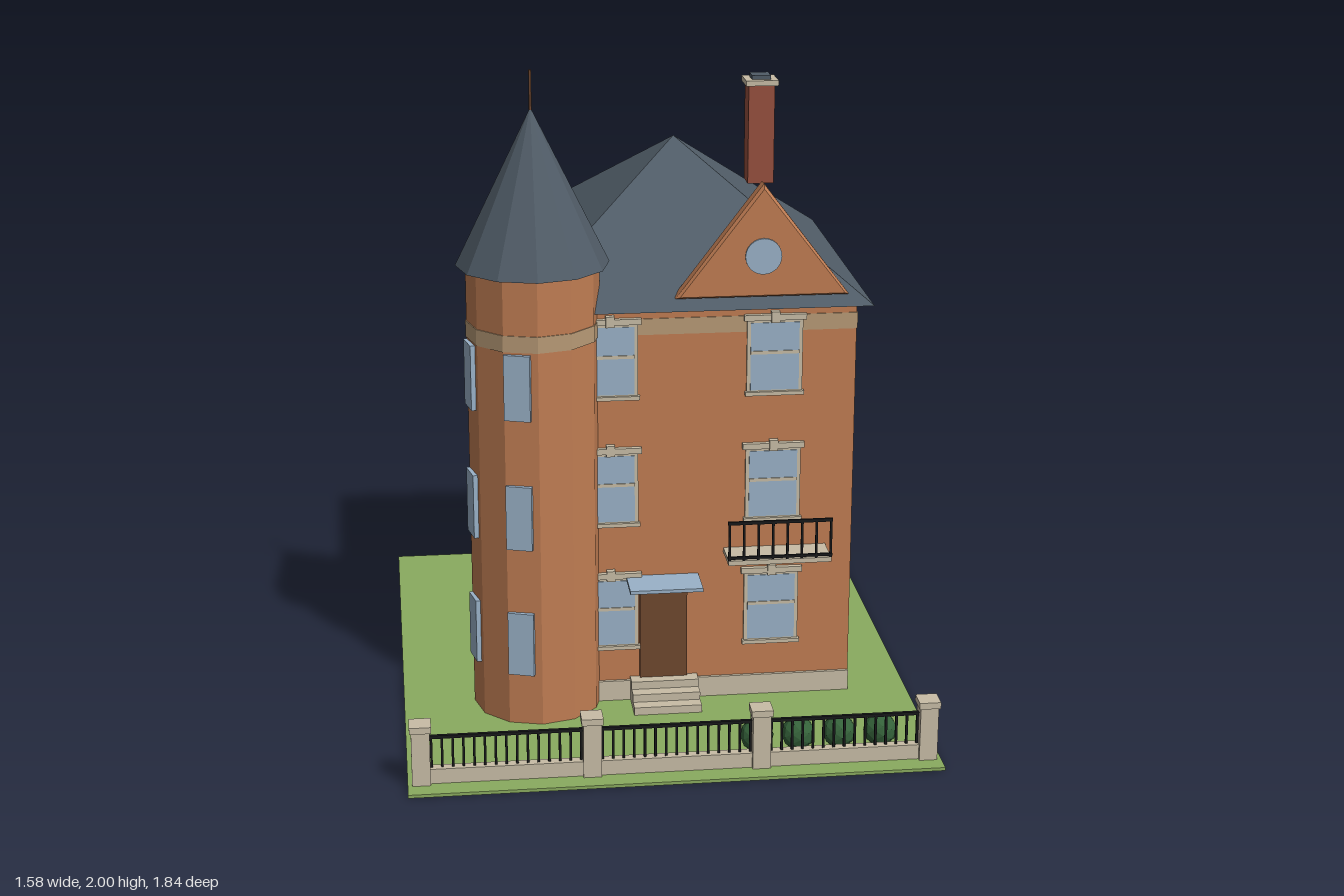
import * as THREE from 'three';

const mat = (name, color) => {
  const m = new THREE.MeshStandardMaterial({ color });
  m.name = name;
  return m;
};

// Hard facets for low-poly round parts
const facet = (geometry) => {
  const g = geometry.index ? geometry.toNonIndexed() : geometry;
  g.computeVertexNormals();
  return g;
};

export function createModel() {
  const brick = mat('brick', 0xc07d53);
  const slate = mat('slate', 0x505c67);
  const stone = mat('stone', 0xc8bda6);
  const band = mat('weathered stone', 0xb89a76);
  const glass = mat('glass', 0x9ab2c8);
  const wood = mat('dark wood', 0x6f482f);
  const iron = mat('iron', 0x17181a);
  const grass = mat('grass', 0x8aab5f);
  const leaf = mat('leaf', 0x35623a);
  const redBrick = mat('chimney brick', 0x96503f);

  const model = new THREE.Group();
  model.name = 'townhouse';

  const add = (parent, name, geometry, material, x = 0, y = 0, z = 0) => {
    const mesh = new THREE.Mesh(geometry, material);
    mesh.name = name;
    mesh.position.set(x, y, z);
    parent.add(mesh);
    return mesh;
  };
  // Box given by its minimum and maximum corners
  const box = (parent, name, material, x0, x1, y0, y1, z0, z1) =>
    add(parent, name, new THREE.BoxGeometry(x1 - x0, y1 - y0, z1 - z0), material,
      (x0 + x1) / 2, (y0 + y1) / 2, (z0 + z1) / 2);
  const group = (name, parent = model) => {
    const g = new THREE.Group();
    g.name = name;
    parent.add(g);
    return g;
  };

  // House footprint
  const X0 = -0.395, X1 = 0.605, Z0 = -0.635, Z1 = 0.345;
  const CX = 0.105, CZ = -0.145;
  const floors = [0, 1, 2].map((i) => i * 0.408);

  box(model, 'lawn', grass, -0.79, 0.79, 0, 0.01, -0.92, 0.92);
  box(model, 'walls', brick, X0, X1, 0.01, 1.285, Z0, Z1);
  box(model, 'foundation', stone, -0.2, X1, 0.01, 0.075, Z1, Z1 + 0.01);

  // Cornice bands on the front and both sides
  box(model, 'frontBand', band, X0, X1, 1.2, 1.25, Z1, Z1 + 0.003);
  box(model, 'leftBand', band, X1, X1 + 0.003, 1.2, 1.25, Z0, Z1);
  box(model, 'rightBand', band, X0 - 0.003, X0, 1.2, 1.25, Z0, Z1);

  // Hipped main roof
  const roof = new THREE.ConeGeometry(Math.SQRT1_2, 0.42, 4);
  roof.rotateY(Math.PI / 4);
  roof.scale(1.09, 1, 1.065);
  add(model, 'mainRoof', facet(roof), slate, CX, 1.49, CZ);

  // Corner tower
  const tower = group('tower');
  tower.position.set(-0.37, 0, 0.3);
  add(tower, 'towerWall', facet(new THREE.CylinderGeometry(0.2, 0.2, 1.41, 12)), brick, 0, 0.715, 0);
  add(tower, 'towerBand', facet(new THREE.CylinderGeometry(0.203, 0.203, 0.05, 12)), band, 0, 1.225, 0);
  add(tower, 'towerRoof', facet(new THREE.ConeGeometry(0.23, 0.47, 12)), slate, 0, 1.655, 0);
  add(tower, 'finial', new THREE.CylinderGeometry(0.004, 0.004, 0.13, 8), wood, 0, 1.935, 0);
  for (const degrees of [-18, -78]) {
    const column = group('towerWindows', tower);
    column.rotation.y = THREE.MathUtils.degToRad(degrees);
    for (const y of floors) box(column, 'towerWindow', glass, -0.04, 0.04, y + 0.175, y + 0.377, 0.19, 0.206);
  }

  // Plain window with a sill, facing +z
  const plainWindow = (parent, y) => {
    const g = group('window', parent);
    g.position.y = y;
    box(g, 'frame', stone, -0.07, 0.07, 0.19, 0.408, 0, 0.008);
    box(g, 'pane', glass, -0.058, 0.058, 0.202, 0.396, 0.006, 0.01);
    box(g, 'sill', stone, -0.075, 0.075, 0.184, 0.196, 0, 0.018);
    return g;
  };
  // Front window with hood, keystone and a middle bar
  const frontWindow = (parent, y) => {
    const g = group('frontWindow', parent);
    g.position.y = y;
    box(g, 'frame', stone, -0.085, 0.085, 0.19, 0.425, 0, 0.008);
    box(g, 'pane', glass, -0.074, 0.074, 0.2, 0.412, 0.006, 0.01);
    box(g, 'bar', stone, -0.074, 0.074, 0.314, 0.324, 0.006, 0.013);
    box(g, 'sill', stone, -0.09, 0.09, 0.184, 0.196, 0, 0.018);
    box(g, 'hood', stone, -0.095, 0.095, 0.42, 0.438, 0, 0.016);
    box(g, 'keystone', stone, -0.013, 0.013, 0.414, 0.448, 0, 0.02);
    return g;
  };
  // Columns of windows on every wall: x, z, turn, kind
  const columns = [
    [CX - 0.25, Z1, 0, frontWindow], [CX + 0.25, Z1, 0, frontWindow],
  ];
  for (const dx of [-0.333, 0, 0.333]) columns.push([CX + dx, Z0, Math.PI, plainWindow]);
  for (const dz of [-0.243, 0.243]) {
    columns.push([X1, CZ + dz, Math.PI / 2, plainWindow]);
    columns.push([X0, CZ + dz, -Math.PI / 2, plainWindow]);
  }
  for (const [x, z, turn, build] of columns) {
    const column = group('windowColumn');
    column.position.set(x, 0, z);
    column.rotation.y = turn;
    for (const y of floors) build(column, y);
  }

  // Front gable with a round window
  const gable = new THREE.Shape([
    new THREE.Vector2(-0.262, 0), new THREE.Vector2(0.262, 0), new THREE.Vector2(0, 0.345),
  ]);
  add(model, 'gable', new THREE.ExtrudeGeometry(gable, {
    depth: 0.04, bevelThickness: 0.01, bevelSize: 0.01, bevelOffset: -0.01, bevelSegments: 1,
  }), brick, 0.313, 1.313, 0.322);
  const round = new THREE.CylinderGeometry(0.055, 0.055, 0.008, 24);
  round.rotateX(Math.PI / 2);
  add(model, 'roundWindow', round, glass, 0.313, 1.44, 0.374);

  // Chimney
  const chimney = group('chimney');
  chimney.position.set(0.403, 0, -0.305);
  box(chimney, 'chimneyStack', redBrick, -0.042, 0.042, 1.51, 1.83, -0.042, 0.042);
  box(chimney, 'chimneyCap', stone, -0.052, 0.052, 1.828, 1.845, -0.052, 0.052);
  box(chimney, 'chimneyPot', slate, -0.03, 0.03, 1.84, 1.858, -0.03, 0.03);

  // Entrance: door, canopy and steps
  box(model, 'door', wood, -0.055, 0.092, 0.08, 0.4, Z1, Z1 + 0.012);
  box(model, 'canopy', glass, -0.097, 0.127, 0.413, 0.424, Z1, 0.47);
  [0.47, 0.43, 0.39].forEach((z, i) =>
    box(model, 'step', stone, -0.085, 0.125, 0.01, 0.035 + i * 0.025, Z1, z));

  // Balcony
  const balcony = group('balcony');
  box(balcony, 'balconySlab', stone, 0.205, 0.523, 0.49, 0.505, Z1, 0.46);
  box(balcony, 'topRail', iron, 0.203, 0.525, 0.622, 0.632, 0.453, 0.461);
  box(balcony, 'bottomRail', iron, 0.203, 0.525, 0.51, 0.518, 0.453, 0.461);
  for (let i = 0; i < 8; i++) {
    const x = 0.208 + i * 0.0446;
    box(balcony, 'baluster', iron, x - 0.0035, x + 0.0035, 0.505, 0.625, 0.4535, 0.4605);
  }

  // Street fence
  const fence = group('fence');
  fence.position.z = 0.84;
  box(fence, 'fenceWall', stone, -0.75, 0.75, 0.01, 0.056, -0.015, 0.015);
  box(fence, 'fenceRail', iron, -0.75, 0.75, 0.148, 0.158, -0.005, 0.005);
  for (let p = 0; p < 4; p++) {
    const px = -0.75 + p * 0.5;
    box(fence, 'post', stone, px - 0.027, px + 0.027, 0.01, 0.18, -0.027, 0.027);
    box(fence, 'postCap', stone, px - 0.032, px + 0.032, 0.178, 0.198, -0.032, 0.032);
    if (p === 3) break;
    for (let i = 1; i < 16; i++) {
      const x = px + i * 0.03125;
      box(fence, 'fenceBar', iron, x - 0.0035, x + 0.0035, 0.056, 0.15, -0.0035, 0.0035);
    }
  }

  // Shrubs
  for (let i = 0; i < 4; i++) {
    add(model, 'shrub', facet(new THREE.IcosahedronGeometry(0.051, 1)), leaf, 0.255 + i * 0.125, 0.055, 0.735);
  }

  return model;
}
